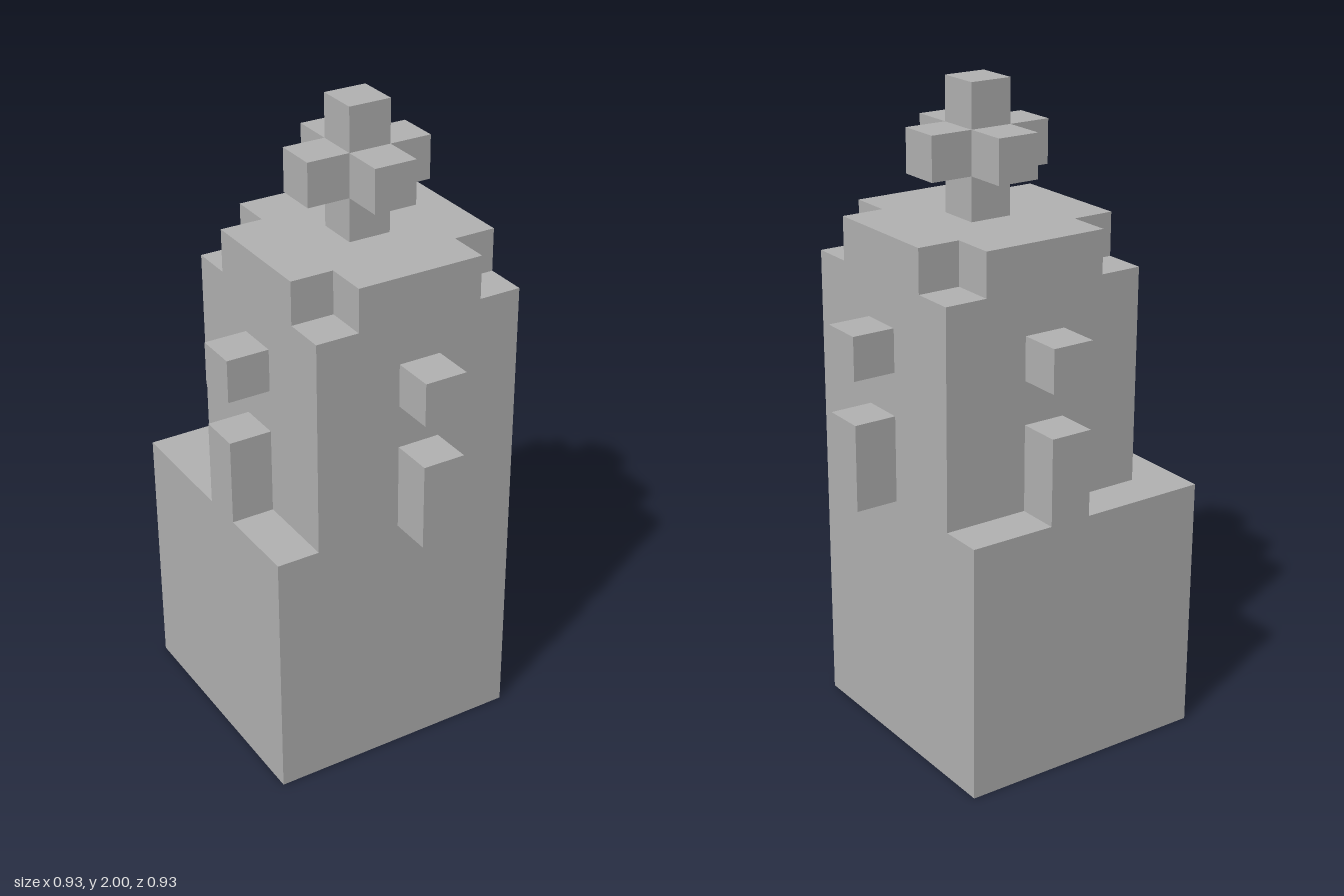
import * as THREE from 'three';

const U = 2 / 15; // one block

export function createModel() {
  const model = new THREE.Group();
  model.name = 'blockTower';
  const stone = new THREE.MeshStandardMaterial({ color: 0xb2b2b2 });
  stone.name = 'grey stone';

  // Box sized and placed in blocks; y is its bottom
  const block = (name, w, h, d, x, y, z, parent = model) => {
    const mesh = new THREE.Mesh(new THREE.BoxGeometry(w * U, h * U, d * U), stone);
    mesh.name = name;
    mesh.position.set(x * U, (y + h / 2) * U, z * U);
    parent.add(mesh);
    return mesh;
  };

  // Wide base, offset to leave a ledge on the back and right
  block('base', 6, 6, 6, -0.5, 0, -0.5);
  block('towerBody', 5, 5, 5, 0, 6, 0);

  // Roof slab with its four corners cut away
  const a = 2.5 * U, b = 1.5 * U;
  const outline = new THREE.Shape([
    [-b, -a], [b, -a], [b, -b], [a, -b], [a, b], [b, b],
    [b, a], [-b, a], [-b, b], [-a, b], [-a, -b], [-b, -b],
  ].map(([x, y]) => new THREE.Vector2(x, y)));
  const roofGeometry = new THREE.ExtrudeGeometry(outline, { depth: U, bevelEnabled: false });
  roofGeometry.rotateX(-Math.PI / 2);
  const roof = new THREE.Mesh(roofGeometry, stone);
  roof.name = 'notchedRoof';
  roof.position.y = 11 * U;
  model.add(roof);

  // Finial: post with four arms
  const finial = new THREE.Group();
  finial.name = 'finial';
  model.add(finial);
  block('finialPost', 1, 3, 1, 0, 12, 0, finial);

  // Projecting blocks and finial arms on all four sides
  for (const [side, x, z] of [['front', 0, 1], ['back', 0, -1], ['left', 1, 0], ['right', -1, 0]]) {
    block(`${side}LowerProjection`, 1, 2, 1, x * 3, 6, z * 3);
    block(`${side}UpperProjection`, 1, 1, 1, x * 3, 9, z * 3);
    block(`${side}FinialArm`, 1, 1, 1, x, 13, z, finial);
  }
  return model;
}
